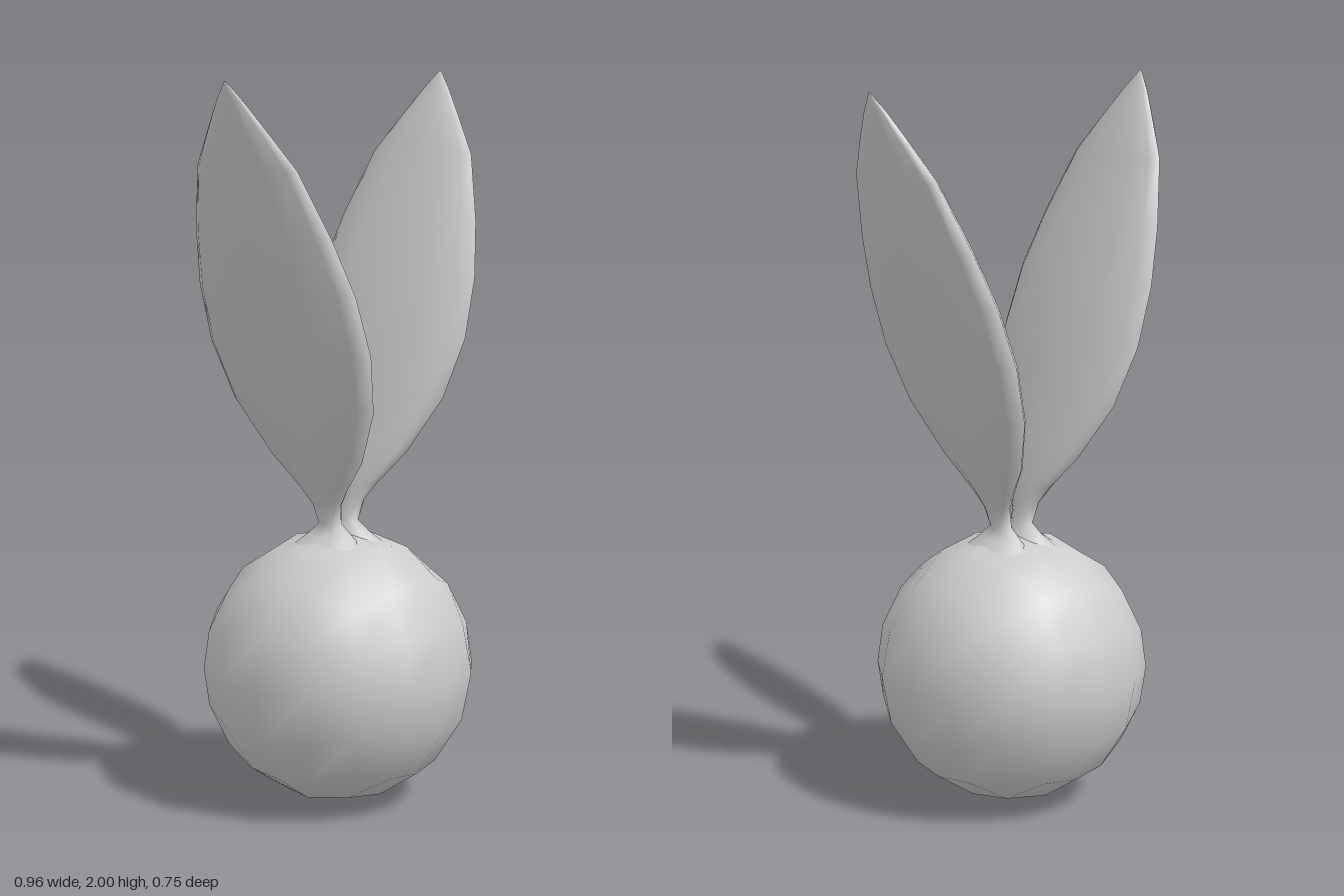
import * as THREE from 'three';

const SIDES = 12;

// Ear cross-sections from root to tip: [height, centre x, half thickness, half width]
const EAR_RINGS = [
  [0.72, 0.05, 0.075, 0.11],
  [0.755, 0.04, 0.04, 0.07],
  [0.785, 0.038, 0.025, 0.035],
  [0.84, 0.053, 0.026, 0.045],
  [0.89, 0.068, 0.035, 0.08],
  [0.98, 0.102, 0.047, 0.155],
  [1.13, 0.16, 0.061, 0.235],
  [1.29, 0.217, 0.067, 0.268],
  [1.45, 0.273, 0.063, 0.26],
  [1.6, 0.328, 0.055, 0.225],
  [1.775, 0.392, 0.04, 0.165],
  [1.87, 0.428, 0.029, 0.1],
  [1.95, 0.458, 0.016, 0.043],
  [2.0, 0.477, 0.002, 0.002],
];

// Round ball made from a cube grid, with evenly spaced angles across each face
function ballGeometry(radius) {
  const geo = new THREE.BoxGeometry(2, 2, 2, 4, 4, 4);
  const pos = geo.attributes.position;
  const v = new THREE.Vector3();
  const spread = (t) => Math.tan((t * Math.PI) / 4);
  for (let i = 0; i < pos.count; i++) {
    v.fromBufferAttribute(pos, i);
    v.set(spread(v.x), spread(v.y), spread(v.z)).normalize();
    geo.attributes.normal.setXYZ(i, v.x, v.y, v.z);
    pos.setXYZ(i, v.x * radius, v.y * radius, v.z * radius);
  }
  return geo;
}

// Leaf-shaped ear lofted through the flattened rings
function earGeometry() {
  const points = [];
  const index = [];
  EAR_RINGS.forEach(([y, cx, rx, rz], i) => {
    for (let j = 0; j < SIDES; j++) {
      const a = (j / SIDES) * Math.PI * 2;
      points.push(cx + rx * Math.cos(a), y, rz * Math.sin(a));
      if (i === EAR_RINGS.length - 1) continue;
      const k = (j + 1) % SIDES;
      const p = i * SIDES + j;
      const q = i * SIDES + k;
      index.push(p, p + SIDES, q, q, p + SIDES, q + SIDES);
    }
  });
  const geo = new THREE.BufferGeometry();
  geo.setAttribute('position', new THREE.Float32BufferAttribute(points, 3));
  geo.setIndex(index);
  geo.computeVertexNormals();
  return geo;
}

export function createModel() {
  const model = new THREE.Group();
  model.name = 'ballWithEars';
  const material = new THREE.MeshStandardMaterial({ color: 0xcccccc });

  // Round body
  const body = new THREE.Mesh(ballGeometry(0.376), material);
  body.name = 'body';
  body.scale.y = 0.38 / 0.376;
  body.position.y = 0.38;
  model.add(body);

  // Pair of ears, the second turned half round
  const geo = earGeometry();
  ['leftEar', 'rightEar'].forEach((name, i) => {
    const ear = new THREE.Mesh(geo, material);
    ear.name = name;
    ear.rotation.y = i * Math.PI;
    model.add(ear);
  });
  return model;
}
